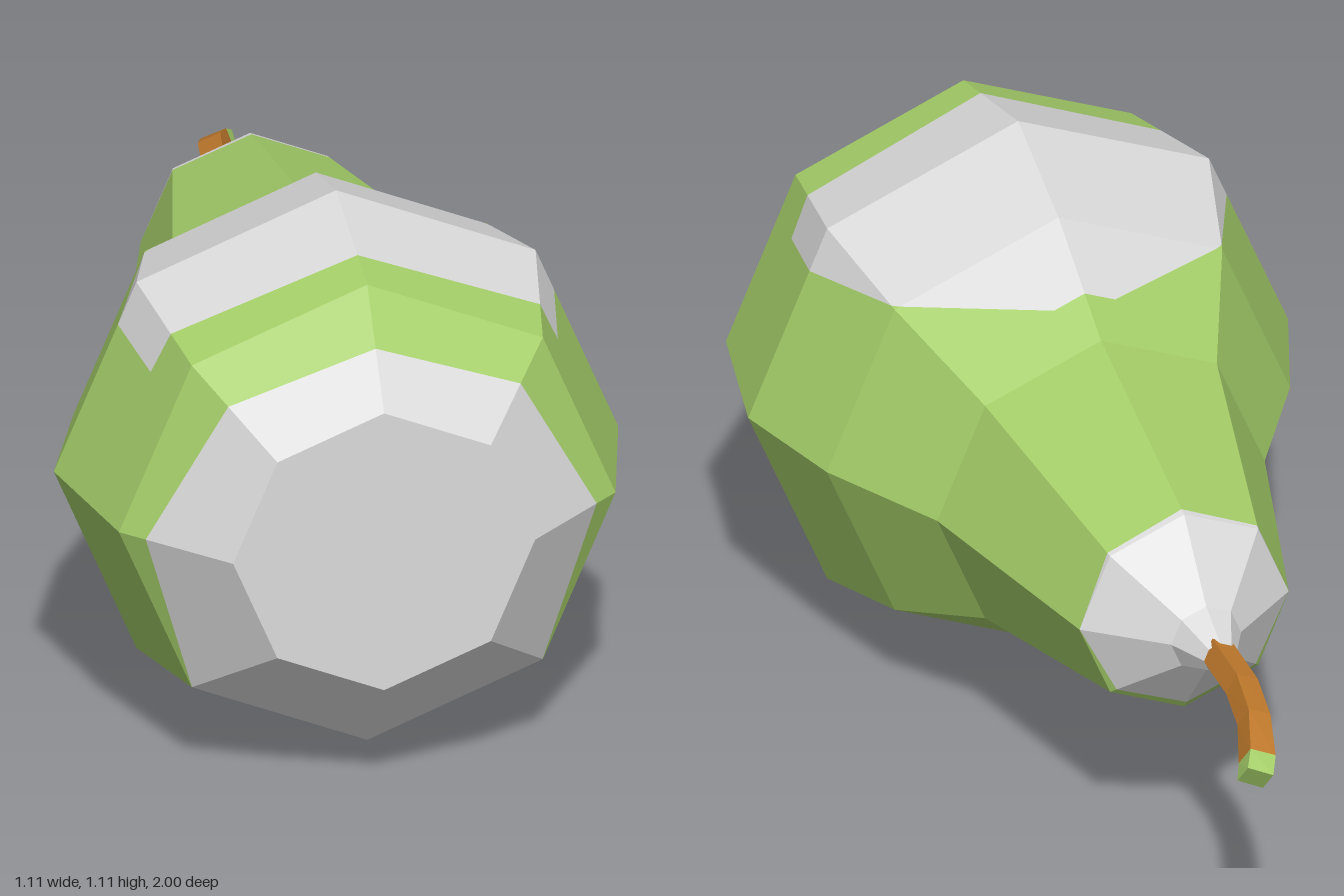
import * as THREE from 'three';

const mat = (name, color) => Object.assign(new THREE.MeshStandardMaterial({ color }), { name });

// Flat mesh from planar convex polygons, fanned into triangles
function polyMesh(name, polys, material) {
  const pos = [];
  for (const p of polys)
    for (let i = 1; i < p.length - 1; i++)
      for (const v of [p[0], p[i], p[i + 1]]) pos.push(v.x, v.y, v.z);
  const geo = new THREE.BufferGeometry();
  geo.setAttribute('position', new THREE.Float32BufferAttribute(pos, 3));
  geo.computeVertexNormals();
  const mesh = new THREE.Mesh(geo, material);
  mesh.name = name;
  return mesh;
}

// Quads joining consecutive rings
function skin(rings) {
  const quads = [];
  for (let i = 0; i < rings.length - 1; i++) {
    const a = rings[i], b = rings[i + 1], n = a.length;
    for (let k = 0; k < n; k++) quads.push([a[k], b[k], b[(k + 1) % n], a[(k + 1) % n]]);
  }
  return quads;
}

// Part of a polygon where sign * (plane . point - w) >= 0
function clip(poly, [x, y, z, w], sign) {
  const out = [];
  const dist = v => sign * (v.x * x + v.y * y + v.z * z - w);
  poly.forEach((a, i) => {
    const b = poly[(i + 1) % poly.length], da = dist(a), db = dist(b);
    if (da >= 0) out.push(a);
    if ((da > 0 && db < 0) || (da < 0 && db > 0)) out.push(a.clone().lerp(b, da / (da - db)));
  });
  return out;
}

// Cut a convex patch (list of planes) out of a set of polygons
function cutPatch(polys, planes) {
  const inside = [], outside = [];
  for (let p of polys) {
    for (const plane of planes) {
      const rest = clip(p, plane, -1);
      if (rest.length > 2) outside.push(rest);
      p = clip(p, plane, 1);
      if (p.length < 3) break;
    }
    if (p.length > 2) inside.push(p);
  }
  return { inside, outside };
}

export function createModel() {
  const green = mat('pearGreen', 0xa5ce69);
  const grey = mat('paleGrey', 0xdadada);
  const brown = mat('stemBrown', 0xc07a2c);
  const group = new THREE.Group();
  group.name = 'pear';

  // Eight-sided body lying along z: [z, radius, centre x]
  const profile = [
    [1, 0.298, 0.008], [0.82, 0.49, 0.008], [0.53, 0.557, 0], [0.283, 0.478, 0.006],
    [0.035, 0.338, 0.008], [-0.45, 0.216, 0.012], [-0.565, 0.072, 0.008], [-0.645, 0.033, 0.008]
  ];
  const rings = profile.map(([z, r, cx]) => Array.from({ length: 8 }, (_, k) => {
    const a = k * Math.PI / 4;
    return new THREE.Vector3(cx + r * Math.cos(a), 0.56 + r * Math.sin(a), z);
  }));

  // Pale patches on the skin, each bounded by planes [x, y, z, w]
  const patches = {
    basePatch: [[0, -0.12, 1, 0.795]],
    neckPatch: [[0, 0.07, -1, 0.4896]],
    topPatch: [
      [0, 0.13, -1, -0.59], [0, 1, 0.15, 0.945], [0, 0, 1, 0.13],
      [0.67, 0, 1, 0.06], [-0.67, 0, 1, 0.06]
    ]
  };
  let body = [rings[0], ...skin(rings)];
  for (const [name, planes] of Object.entries(patches)) {
    const { inside, outside } = cutPatch(body, planes);
    group.add(polyMesh(name, inside, grey));
    body = outside;
  }
  group.add(polyMesh('body', body, green));

  // Four-sided bent stem
  const path = [
    [0.008, 0.567, -0.63], [0.005, 0.56, -0.76], [0.018, 0.545, -0.865],
    [0.042, 0.508, -0.95], [0.058, 0.488, -0.984]
  ].map(p => new THREE.Vector3(...p));
  const stemRings = path.map((c, i) => {
    const d = path[Math.min(i + 1, 4)].clone().sub(path[Math.max(i - 1, 0)]).normalize();
    const right = d.clone().cross(new THREE.Vector3(0, 1, 0)).normalize();
    const up = right.clone().cross(d);
    return Array.from({ length: 4 }, (_, k) => {
      const a = (70 + 90 * k) * Math.PI / 180, r = i > 2 ? 0.038 : 0.034;
      return c.clone().addScaledVector(right, r * Math.cos(a)).addScaledVector(up, r * Math.sin(a));
    });
  });
  group.add(polyMesh('stem', skin(stemRings.slice(0, 4)), brown));
  // Cut end of the stem
  group.add(polyMesh('stemTip', [...skin(stemRings.slice(3)), [...stemRings[4]].reverse()], green));
  return group;
}
